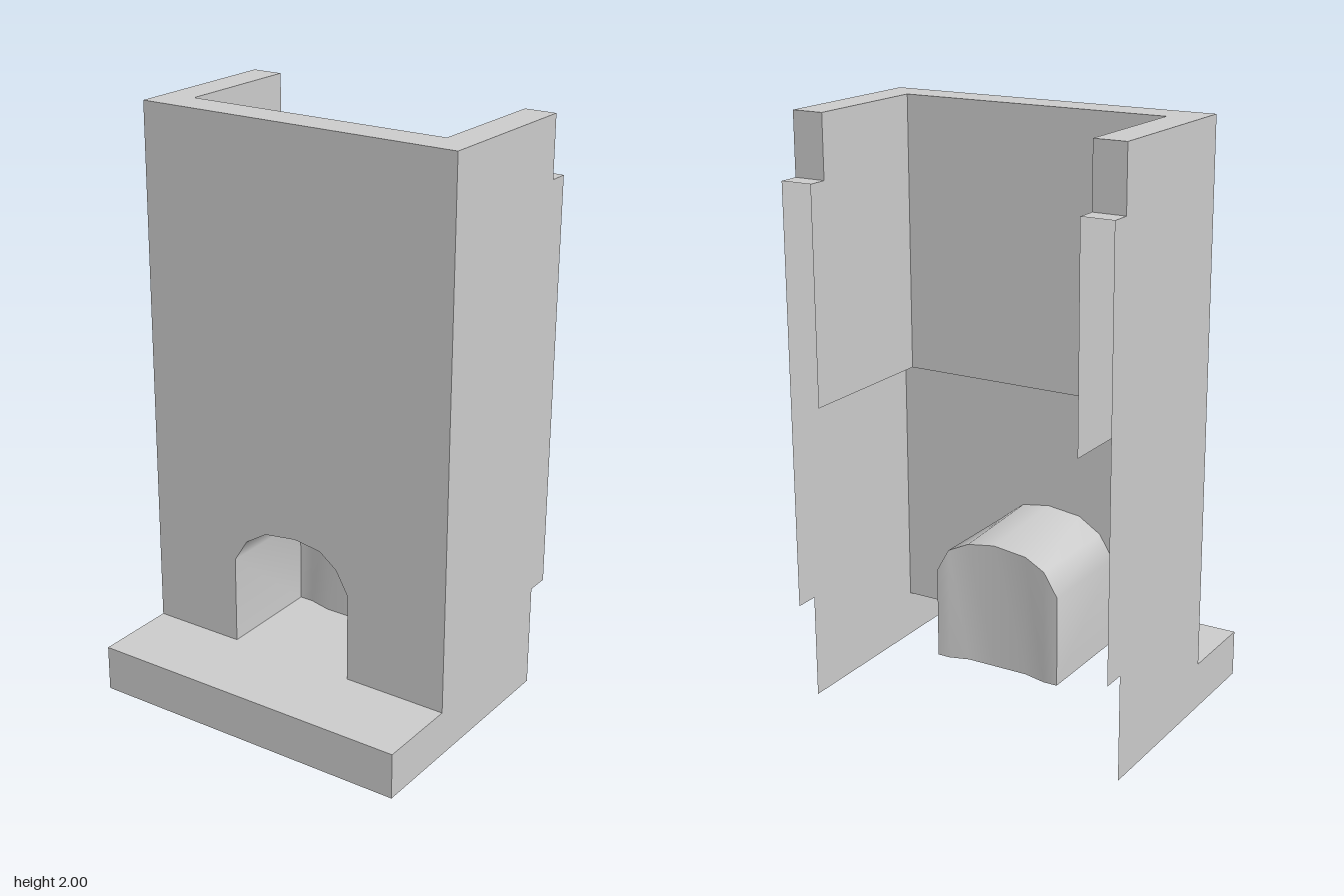
import * as THREE from 'three';

const W = 0.58, WI = 0.47;           // outer and inner half widths
const FRONT = 0.18, INNER = 0.06;    // front wall faces
const BACK = -0.405, TAB = -0.475;   // rear edge of side walls and of their tabs
const STEP = 0.475, STEP_Y = 0.16, TAB_Y = 1.79, LINING_Y = 1.07;

const material = new THREE.MeshStandardMaterial({ color: 0xcccccc, side: THREE.DoubleSide });

// Flat sheet: a 2D outline placed in space by a mapping rule
function sheet(name, outline, place) {
  const geo = new THREE.ShapeGeometry(new THREE.Shape(outline.map(([a, b]) => new THREE.Vector2(a, b))));
  const pos = geo.attributes.position;
  for (let i = 0; i < pos.count; i++) pos.setXYZ(i, ...place(pos.getX(i), pos.getY(i)));
  geo.computeVertexNormals();
  const mesh = new THREE.Mesh(geo, material);
  mesh.name = name;
  return mesh;
}

// Smooth strip between two rows of points
function strip(name, rowA, rowB) {
  const n = rowA.length, index = [];
  for (let i = 0; i < n - 1; i++) index.push(i, i + 1, n + i, i + 1, n + i + 1, n + i);
  const geo = new THREE.BufferGeometry();
  geo.setAttribute('position', new THREE.Float32BufferAttribute([...rowA, ...rowB].flat(), 3));
  geo.setIndex(index);
  geo.computeVertexNormals();
  const mesh = new THREE.Mesh(geo, material);
  mesh.name = name;
  return mesh;
}

const rect = (a0, b0, a1, b1) => [[a0, b0], [a1, b0], [a1, b1], [a0, b1]];
const atX = x => (a, b) => [x, b, a];
const atY = y => (a, b) => [a, y, -b];
const atZ = z => (a, b) => [a, b, z];

export function createModel() {
  const group = new THREE.Group();
  group.name = 'alcoveTower';

  // Arched opening, from one foot to the other
  const arch = [[-0.25, STEP_Y], [-0.25, 0.47], [-0.2, 0.55], [-0.12, 0.6], [0, 0.615],
    [0.1, 0.6], [0.165, 0.55], [0.21, 0.47], [0.21, STEP_Y]];

  // Front wall with the opening cut out, and its upper lining
  group.add(sheet('frontWall', [[-W, STEP_Y], ...arch, [W, STEP_Y], [W, 2], [-W, 2]], atZ(FRONT)));
  group.add(sheet('frontLining', rect(-WI, LINING_Y, WI, 2), atZ(INNER)));

  // Niche: vault, slightly hollowed back wall and floor
  const near = arch.map(([x, y]) => [x, y, FRONT]);
  const far = arch.map(([x, y]) => [x, y > 0.56 ? y - 0.022 : y, y > 0.56 ? -0.18 : -0.2]);
  const backRow = far.slice(1, -1);
  const footRow = backRow.map(([x, , z]) => [x, STEP_Y, z]);
  group.add(strip('nicheVault', near, far));
  group.add(strip('nicheBack', backRow, footRow));
  group.add(sheet('nicheFloor',
    [[-0.25, -FRONT], [0.21, -FRONT], ...footRow.map(([x, , z]) => [x, -z]).reverse()], atY(STEP_Y)));

  // Front step, open underneath
  group.add(sheet('stepTop', rect(-W, -STEP, W, -FRONT), atY(STEP_Y)));
  group.add(sheet('stepFront', rect(-W, 0, W, STEP_Y), atZ(STEP)));

  // Top rim
  group.add(sheet('topRim', [[-W, -FRONT], [W, -FRONT], [W, -BACK], [WI, -BACK],
    [WI, -INNER], [-WI, -INNER], [-WI, -BACK], [-W, -BACK]], atY(2)));

  // Side walls: outer sheet, shorter lining, end cap and tab cap
  const outer = [[STEP, 0], [STEP, STEP_Y], [FRONT, STEP_Y], [FRONT, 2], [BACK, 2],
    [BACK, TAB_Y], [TAB, TAB_Y], [TAB, 0.36], [-0.393, 0.36], [-0.393, 0]];
  const lining = [[INNER, LINING_Y], [INNER, 2], [BACK, 2], [BACK, TAB_Y], [TAB, TAB_Y], [TAB, LINING_Y]];
  for (const [side, s] of [['left', 1], ['right', -1]]) {
    group.add(sheet(side + 'Wall', outer, atX(s * W)));
    group.add(sheet(side + 'Lining', lining, atX(s * WI)));
    group.add(sheet(side + 'EndCap', rect(s * WI, TAB_Y, s * W, 2), atZ(BACK)));
    group.add(sheet(side + 'TabCap', rect(s * WI, -BACK, s * W, -TAB), atY(TAB_Y)));
  }
  return group;
}
